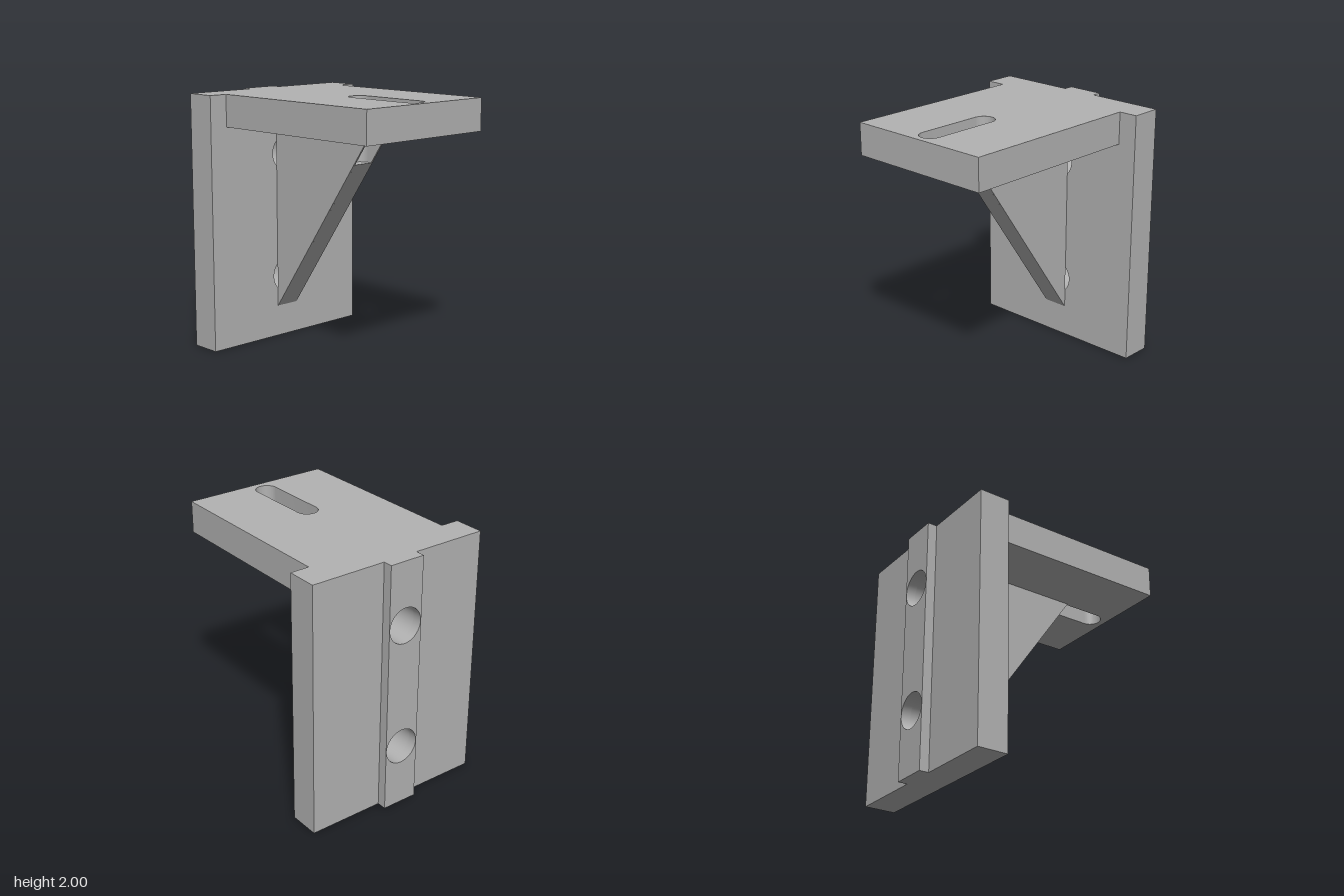
import * as THREE from 'three';
import { toCreasedNormals } from 'three/addons/utils/BufferGeometryUtils.js';

const BACK = -0.91, PLATE = -0.835, FACE = -0.59, FRONT = 0.91;
const SLOT_R = 0.085, SLOT_A = 0.245, SLOT_B = 0.775, RIB = 0.1;

const extrude = (shape, depth) => toCreasedNormals(
  new THREE.ExtrudeGeometry(shape, { depth, bevelEnabled: false, curveSegments: 32 }), 0.5);

const polygon = (pts) => new THREE.Shape(pts.map(([x, y]) => new THREE.Vector2(x, y)));
const rect = (x0, y0, x1, y1) => polygon([[x0, y0], [x1, y0], [x1, y1], [x0, y1]]);

// Outline in (z, y), pushed along x
const alongX = (shape, x0, x1) => extrude(shape, x1 - x0).rotateY(Math.PI / 2).translate(x0, 0, 0);
// Outline in (x, z), pushed up along y
const alongY = (shape, y0, y1) => extrude(shape, y1 - y0).rotateX(-Math.PI / 2).translate(0, y0, 0);
// Outline in (x, y), pushed along z
const alongZ = (shape, z0, z1) => extrude(shape, z1 - z0).translate(0, 0, z0);

// Upright slab with the two bolt holes
function boltedSlab(halfWidth) {
  const shape = rect(-halfWidth, 0, halfWidth, 2);
  for (const y of [0.5, 1.5]) shape.holes.push(new THREE.Path().absarc(0, y, 0.14, 0, Math.PI * 2, true));
  return shape;
}

export function createModel() {
  const group = new THREE.Group();
  group.name = 'angleBracket';
  const metal = new THREE.MeshStandardMaterial({ color: 0xb2b2b2 });
  metal.name = 'greyMetal';
  const add = (name, geometry) => {
    const mesh = new THREE.Mesh(geometry, metal);
    mesh.name = name;
    group.add(mesh);
  };

  // Back plate and its locating key
  add('backPlate', alongX(boltedSlab(0.75), PLATE, FACE));
  add('locatingKey', alongX(boltedSlab(0.145), BACK, PLATE));

  // Shelf with rounded slot
  const shelf = rect(FACE, -0.6, FRONT, 0.6);
  const slot = new THREE.Path();
  slot.absarc(SLOT_A, 0, SLOT_R, Math.PI / 2, Math.PI * 1.5, false);
  slot.absarc(SLOT_B, 0, SLOT_R, -Math.PI / 2, Math.PI / 2, false);
  slot.closePath();
  shelf.holes.push(slot);
  add('shelf', alongY(shelf, 1.75, 2));

  // Rib: thin cheeks beside the slot, solid core below it
  const cheek = polygon([[FACE, 0.25], [0.455, 1.75], [FACE, 1.75]]);
  add('ribCheekLeft', alongZ(cheek, SLOT_R, RIB));
  add('ribCheekRight', alongZ(cheek, -RIB, -SLOT_R));
  const core = polygon([[FACE, 0.25], [0.281, 1.5], [FACE, 1.5]]);
  add('ribCore', alongZ(core, -SLOT_R, SLOT_R));

  // Upper core, hollowed by the round slot end
  const upper = new THREE.Shape();
  upper.moveTo(FACE, -SLOT_R);
  upper.lineTo(SLOT_A, -SLOT_R);
  upper.absarc(SLOT_A, 0, SLOT_R, -Math.PI / 2, Math.PI / 2, true);
  upper.lineTo(FACE, SLOT_R);
  upper.closePath();
  add('ribUpperCore', alongY(upper, 1.5, 1.75));

  return group;
}
